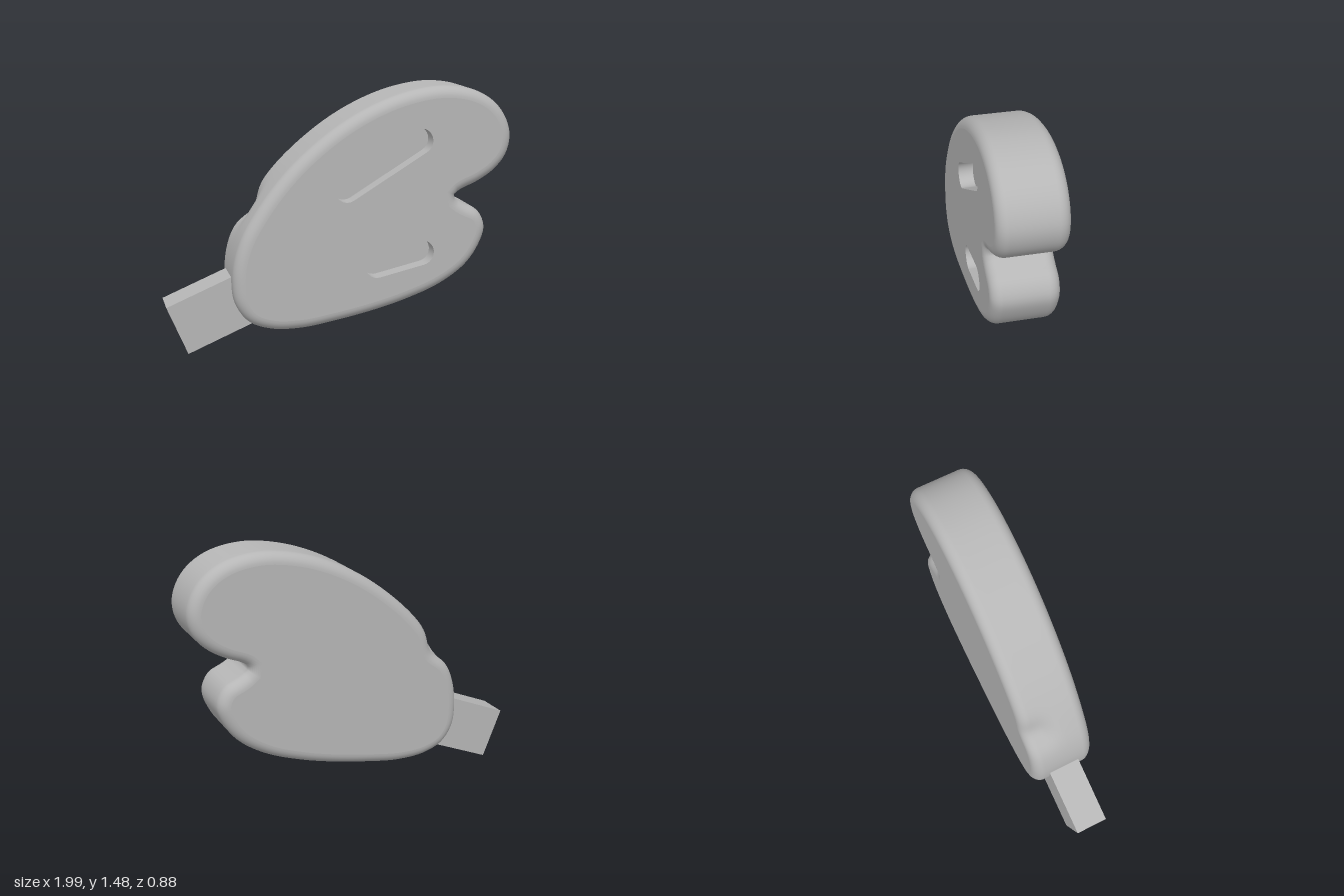
import * as THREE from 'three';

const BACK = -0.155, FRONT = 0.228, ROUND = 0.065, COUNT = 180;
const V = (x, y) => new THREE.Vector2(x, y);

// Joins equal-length closed rings of points into a smooth skin
function loft(rings, inward = false) {
  const n = rings[0].length, index = [];
  for (let k = 0; k < rings.length - 1; k++) {
    for (let i = 0; i < n; i++) {
      const j = (i + 1) % n;
      const a = k * n + i, b = k * n + j, c = b + n, d = a + n;
      if (inward) index.push(a, c, b, a, d, c);
      else index.push(a, b, c, a, c, d);
    }
  }
  const g = new THREE.BufferGeometry();
  g.setAttribute('position', new THREE.Float32BufferAttribute(rings.flat().flatMap(p => p.toArray()), 3));
  g.setIndex(index);
  g.computeVertexNormals();
  return g;
}

// Rounded slot outline between two end centres
function slotPoints([x1, y1, x2, y2], r) {
  const a = Math.atan2(y2 - y1, x2 - x1), pts = [];
  for (const [x, y, start] of [[x2, y2, a - Math.PI / 2], [x1, y1, a + Math.PI / 2]]) {
    for (let i = 0; i <= 14; i++) {
      const t = start + (i / 14) * Math.PI;
      pts.push(V(x + r * Math.cos(t), y + r * Math.sin(t)));
    }
  }
  return pts;
}

export function createModel() {
  const model = new THREE.Group();
  model.name = 'wingPaddle';
  const grey = new THREE.MeshStandardMaterial({ color: 0xb6b6b6 });
  grey.name = 'plainGrey';
  const body = new THREE.Group();
  body.name = 'wing';
  body.rotation.y = 0.314;
  model.add(body);
  const add = (name, geometry, parent = body) => {
    const mesh = new THREE.Mesh(geometry, grey);
    mesh.name = name;
    parent.add(mesh);
    return mesh;
  };

  // Two-lobed outline, counter-clockwise
  const outline = [
    [-0.27, 0.113], [-0.06, 0.14], [0.155, 0.18], [0.36, 0.233], [0.57, 0.312], [0.73, 0.42],
    [0.815, 0.54], [0.845, 0.65], [0.80, 0.745], [0.705, 0.795], [0.648, 0.84], [0.69, 0.875],
    [0.785, 0.915], [0.89, 0.98], [0.965, 1.07], [0.99, 1.18], [0.96, 1.29], [0.885, 1.385],
    [0.76, 1.455], [0.57, 1.485], [0.35, 1.455], [0.137, 1.38], [-0.074, 1.262], [-0.284, 1.095],
    [-0.42, 0.95], [-0.53, 0.8], [-0.605, 0.67], [-0.648, 0.54], [-0.661, 0.42], [-0.645, 0.285],
    [-0.575, 0.18], [-0.45, 0.125],
  ].map(([x, y]) => new THREE.Vector3(x, y, 0));
  const base = new THREE.CatmullRomCurve3(outline, true, 'centripetal').getSpacedPoints(COUNT).slice(0, COUNT);

  // Outline at depth w, inset for the rounded rim, with a scoop in the rear edge
  const ring = (w, inset) => base.map((p, i) => {
    const t = base[(i + 1) % COUNT].clone().sub(base[(i + COUNT - 1) % COUNT]).normalize();
    const scoop = 0.05 * Math.exp(-(((p.x + 0.53) ** 2 + (p.y - 0.81) ** 2) / 0.011))
      * (1 - THREE.MathUtils.smoothstep(w, -0.08, 0.06));
    const move = inset + scoop;
    return new THREE.Vector3(p.x - t.y * move, p.y + t.x * move, w);
  });

  // Side wall with rounded front and back rims
  const rings = [], steps = 8;
  for (let i = 0; i <= steps; i++) {
    const a = (i / steps) * Math.PI / 2;
    rings.push(ring(BACK + ROUND * (1 - Math.sin(a)), ROUND * (1 - Math.cos(a))));
  }
  rings.reverse();
  rings.sort((p, q) => p[0].z - q[0].z);
  for (let i = 1; i < 6; i++) {
    rings.push(ring(THREE.MathUtils.lerp(BACK + ROUND, FRONT - ROUND, i / 6), 0));
  }
  for (let i = 0; i <= steps; i++) {
    const a = (i / steps) * Math.PI / 2;
    rings.push(ring(FRONT - ROUND * (1 - Math.sin(a)), ROUND * (1 - Math.cos(a))));
  }
  add('wingRim', loft(rings));

  // Front face with two slot openings
  const slots = [[-0.005, 0.922, 0.425, 1.178], [0.175, 0.466, 0.443, 0.522]].map(s => slotPoints(s, 0.074));
  const face = new THREE.Shape(rings[rings.length - 1].map(p => V(p.x, p.y)));
  slots.forEach(s => face.holes.push(new THREE.Path(s)));
  add('frontFace', new THREE.ShapeGeometry(face).translate(0, 0, FRONT));

  // Back face
  const back = new THREE.Shape(rings[0].map(p => V(-p.x, p.y)).reverse());
  add('backFace', new THREE.ShapeGeometry(back).rotateY(Math.PI).translate(0, 0, BACK));

  // Slot pockets
  const floor = FRONT - 0.085;
  slots.forEach((s, i) => {
    const level = z => s.map(p => new THREE.Vector3(p.x, p.y, z));
    const pocket = new THREE.Group();
    pocket.name = i ? 'lowerSlot' : 'upperSlot';
    body.add(pocket);
    add('slotWall', loft([level(floor), level(FRONT)], true), pocket);
    add('slotFloor', new THREE.ShapeGeometry(new THREE.Shape(s)).translate(0, 0, floor), pocket);
  });

  // Square stem with a bored end
  const stem = new THREE.Group();
  stem.name = 'stem';
  stem.position.set(-0.973, 0.1425, 0.034);
  const a = 0.385, c = Math.cos(a), n = Math.sin(a);
  stem.quaternion.setFromRotationMatrix(new THREE.Matrix4().makeBasis(
    new THREE.Vector3(0, 0, -1), new THREE.Vector3(-n, c, 0), new THREE.Vector3(c, n, 0)));
  body.add(stem);
  const section = new THREE.Shape([V(-0.095, -0.1535), V(0.095, -0.1535), V(0.095, 0.1535), V(-0.095, 0.1535)]);
  section.holes.push(new THREE.Path().absarc(0, 0, 0.058, 0, Math.PI * 2, true));
  add('stemBar', new THREE.ExtrudeGeometry(section, { depth: 0.5, bevelEnabled: false, curveSegments: 24 }), stem);
  add('boreEnd', new THREE.CircleGeometry(0.06, 24).rotateY(Math.PI).translate(0, 0, 0.25), stem);

  return model;
}
